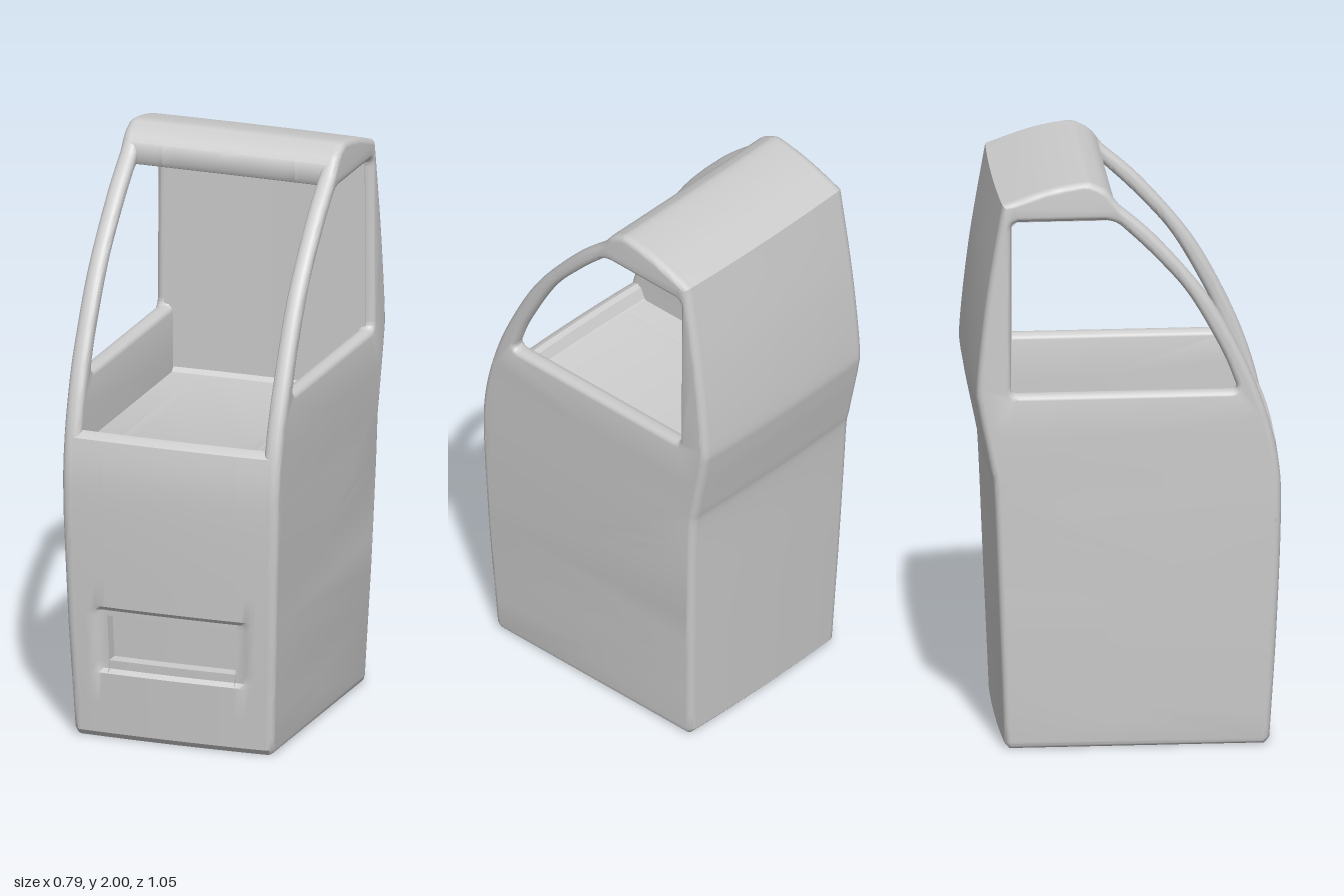
import * as THREE from 'three';
import { toCreasedNormals } from 'three/addons/utils/BufferGeometryUtils.js';

const material = new THREE.MeshStandardMaterial({ color: 0xcccccc });

// Smooth curve through [z, y] points
const smooth = (pts, n) =>
  new THREE.SplineCurve(pts.map(p => new THREE.Vector2(...p))).getPoints(n).map(v => [v.x, v.y]);

// Linear interpolation in a table of [value, y] rows with rising y
function at(table, y) {
  for (let i = 1; i < table.length; i++) {
    const [a, ya] = table[i - 1], [b, yb] = table[i];
    if (y <= yb) return a + (b - a) * Math.max(0, (y - ya) / (yb - ya));
  }
  return table[table.length - 1][0];
}

// Side profile of the cab, as [z, y]
const front = smooth([[0.49, 0.02], [0.513, 0.4], [0.528, 0.8], [0.52, 1.0], [0.47, 1.2],
  [0.385, 1.4], [0.27, 1.6], [0.1, 1.8], [-0.03, 1.915]], 48);
const roof = smooth([[-0.05, 1.94], [-0.073, 1.968], [-0.11, 1.99], [-0.155, 2],
  [-0.285, 1.976], [-0.435, 1.925]], 20);
const back = smooth([[-0.435, 1.925], [-0.49, 1.6], [-0.523, 1.3], [-0.517, 1.2],
  [-0.477, 1.0], [-0.462, 0.9], [-0.445, 0.5], [-0.425, 0.02]], 36).slice(1);
const bottom = [[-0.408, 0], [0.473, 0]];
const halfWidth = [[0.358, 0], [0.376, 0.4], [0.389, 0.8], [0.395, 1.3], [0.39, 2]];

const ramp = (v, a, b) => THREE.MathUtils.clamp((v - a) / (b - a), 0, 1);

// Taper the sides, bow front and back, and dish the panel around the front recess
function warp(geo) {
  const p = geo.attributes.position;
  for (let i = 0; i < p.count; i++) {
    let x = p.getX(i), z = p.getZ(i);
    const y = p.getY(i);
    if (z > 0.4) {
      z -= 0.014 * ramp(y, 0.235, 0.25) * ramp(y, 0.475, 0.46) * ramp(Math.abs(x), 0.3, 0.26);
    }
    z *= 1 - 0.02 * (x / 0.39) ** 2;
    x *= at(halfWidth, y) / 0.39;
    p.setXYZ(i, x, y, z);
  }
  return geo;
}

// Split triangles until no edge is taller than the limit
function refine(geo, limit) {
  const p = geo.attributes.position, out = [];
  const split = tri => {
    const rise = i => Math.abs(tri[i].y - tri[(i + 1) % 3].y);
    const k = [0, 1, 2].reduce((m, i) => (rise(i) > rise(m) ? i : m), 0);
    if (rise(k) <= limit) {
      tri.forEach(v => out.push(v.x, v.y, v.z));
      return;
    }
    const a = tri[k], b = tri[(k + 1) % 3], c = tri[(k + 2) % 3];
    const m = a.clone().add(b).multiplyScalar(0.5);
    split([a, m, c]);
    split([m, b, c]);
  };
  for (let i = 0; i < p.count; i += 3) {
    split([0, 1, 2].map(j => new THREE.Vector3().fromBufferAttribute(p, i + j)));
  }
  const g = new THREE.BufferGeometry();
  g.setAttribute('position', new THREE.Float32BufferAttribute(out, 3));
  return g;
}

// Extrude a side profile across the cab from x0 to x1
function slab(name, shape, x0, x1, options) {
  let geo = new THREE.ExtrudeGeometry(shape, { depth: x1 - x0, bevelEnabled: false, curveSegments: 8, ...options });
  geo.rotateY(-Math.PI / 2).translate(x1, 0, 0);
  geo = warp(refine(geo, 0.15));
  const mesh = new THREE.Mesh(toCreasedNormals(geo, 0.6), material);
  mesh.name = name;
  return mesh;
}

const toShape = pts => new THREE.Shape(pts.map(p => new THREE.Vector2(...p)));

// C-shaped section: front panel, base, back wall, roof, ceiling, floor and sill
function shellShape(recess) {
  const notch = recess ? 0.05 : 0;
  const panel = [0.02, 0.12, 0.235, 0.25].map(y => [at(front, y), y]);
  panel.push([at(front, 0.28), 0.28]);
  if (recess) panel.push([at(front, 0.28) - notch, 0.28], [at(front, 0.44) - notch, 0.44]);
  for (const y of [0.44, 0.46, 0.475, 0.56, 0.64, 0.72, 0.8, 0.86, 0.92, 0.97, 1.02, 1.06]) {
    panel.push([at(front, y), y]);
  }
  const inside = [
    [0.492, 1.075], [0.475, 1.08], [0.457, 1.072], [0.44, 1.035], [0.43, 1.03], // sill
    [-0.385, 1.03], [-0.4, 1.045],                                             // floor
    [-0.4, 1.845], [-0.385, 1.86],                                             // back wall
    [-0.075, 1.86], [-0.055, 1.868], [-0.046, 1.885], [-0.045, 1.915]];        // ceiling and header
  return toShape([...panel, ...inside, ...roof, ...back, ...bottom]);
}

// Full side outline with a window opening
function sideShape() {
  const shape = toShape([...front, ...roof, ...back, ...bottom]);
  const w = new THREE.Path();
  w.moveTo(0.35, 1.258);
  w.lineTo(-0.38, 1.258);
  w.quadraticCurveTo(-0.405, 1.258, -0.405, 1.285);
  w.lineTo(-0.405, 1.835);
  w.quadraticCurveTo(-0.405, 1.865, -0.375, 1.865);
  w.lineTo(-0.085, 1.865);
  w.quadraticCurveTo(-0.05, 1.865, -0.025, 1.845);
  w.splineThru([[0.08, 1.745], [0.207, 1.6], [0.322, 1.4], [0.372, 1.28]].map(p => new THREE.Vector2(...p)));
  w.quadraticCurveTo(0.378, 1.258, 0.35, 1.258);
  shape.holes.push(w);
  return shape;
}

export function createModel() {
  const cab = new THREE.Group();
  cab.name = 'cab';

  // Centre of the cab, with the recess cut into its middle strip
  cab.add(slab('centreShell', shellShape(true), -0.24, 0.24, { steps: 12 }));
  cab.add(slab('leftShell', shellShape(false), 0.24, 0.36, { steps: 6 }));
  cab.add(slab('rightShell', shellShape(false), -0.36, -0.24, { steps: 6 }));

  // Side walls with rounded edges and window pillars
  const rounded = {
    bevelEnabled: true, bevelThickness: 0.025, bevelSize: 0.02, bevelOffset: -0.02, bevelSegments: 4,
  };
  cab.add(slab('leftSideWall', sideShape(), 0.355, 0.365, rounded));
  cab.add(slab('rightSideWall', sideShape(), -0.365, -0.355, rounded));
  return cab;
}
